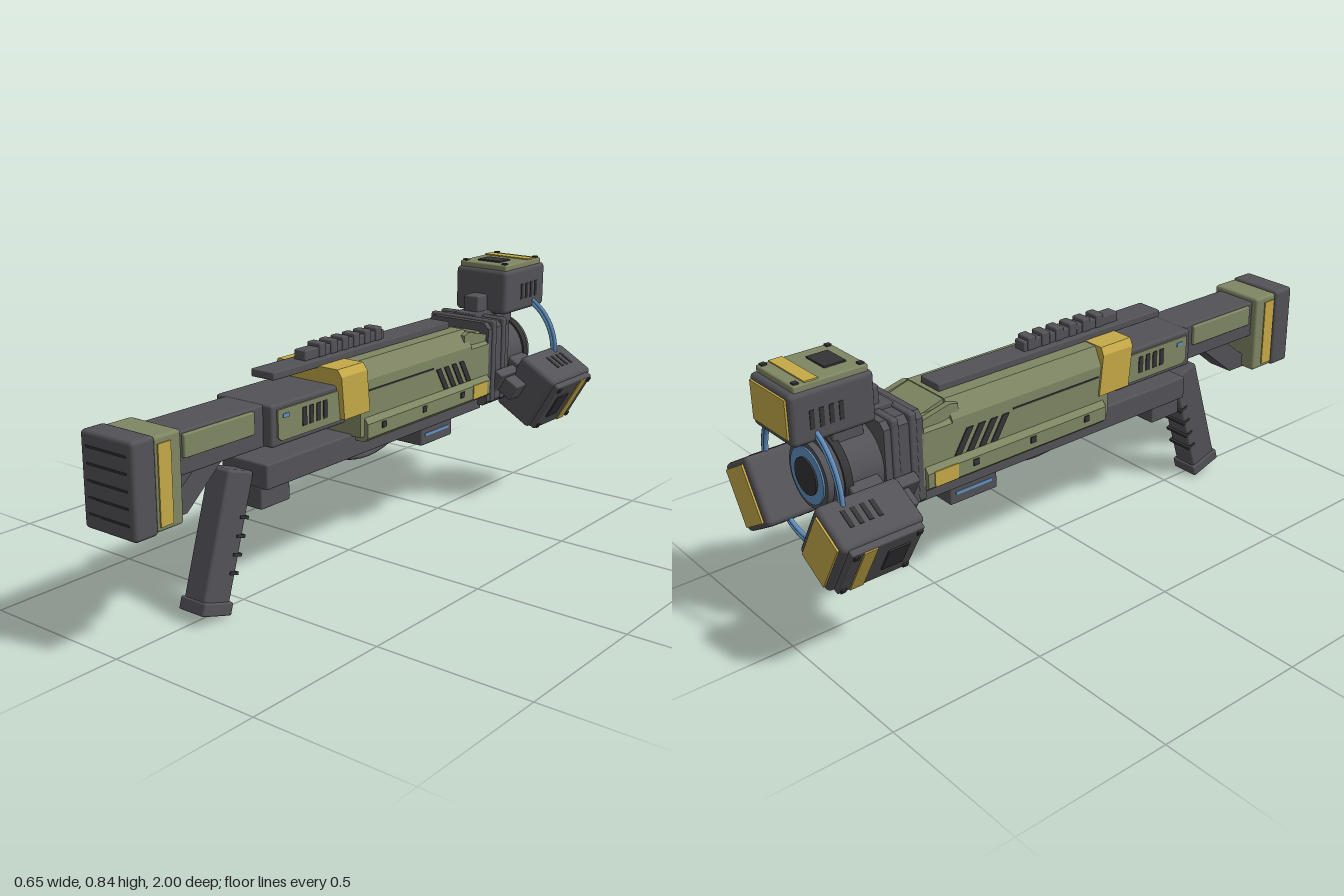
import * as THREE from 'three';
import { RoundedBoxGeometry } from 'three/addons/geometries/RoundedBoxGeometry.js';

const mat = (name, color) => Object.assign(new THREE.MeshStandardMaterial({ color }), { name });

export function createModel() {
  const gray = mat('gunmetal', 0x535257), dark = mat('darkMetal', 0x343437), green = mat('oliveGreen', 0x7f8663);
  const yellow = mat('hazardYellow', 0xc6aa48), blue = mat('cableBlue', 0x6192c2);
  const root = new THREE.Group();
  root.name = 'launcher';

  const add = (parent, name, geometry, material) => {
    const m = new THREE.Mesh(geometry, material);
    m.name = name;
    parent.add(m);
    return m;
  };
  // Box given by its limits on each axis, with optional softened edges
  const box = (parent, name, material, [x0, x1], [y0, y1], [z0, z1], r = 0) => {
    const s = [x1 - x0, y1 - y0, z1 - z0];
    const m = add(parent, name, r ? new RoundedBoxGeometry(...s, 2, r) : new THREE.BoxGeometry(...s), material);
    m.position.set((x0 + x1) / 2, (y0 + y1) / 2, (z0 + z1) / 2);
    return m;
  };
  const shape = (pts) => new THREE.Shape(pts.map((p) => new THREE.Vector2(...p)));
  // Side outline in (z, y), given a width across x
  const profile = (parent, name, material, pts, width, x = 0) => {
    const g = new THREE.ExtrudeGeometry(shape(pts), { depth: width, bevelEnabled: false });
    g.translate(0, 0, -width / 2).rotateY(-Math.PI / 2);
    const m = add(parent, name, g, material);
    m.position.x = x;
    return m;
  };
  // Mirrored cross-section in (x, y), run along z
  const section = (parent, name, material, half, z0, z1) => {
    const pts = [...half, ...half.map(([x, y]) => [-x, y]).reverse()];
    const g = new THREE.ExtrudeGeometry(shape(pts), { depth: z1 - z0, bevelEnabled: false });
    g.translate(0, 0, z0);
    return add(parent, name, g, material);
  };
  const rect = (z0, z1, y0, y1) => [[z0, y0], [z1, y0], [z1, y1], [z0, y1]];
  const wide = (h) => [-h, h];

  // Stock
  box(root, 'buttPad', gray, wide(0.1), [0.355, 0.63], [0.915, 0.998], 0.012);
  for (let i = 0; i < 5; i++) {
    const y = 0.4 + i * 0.047;
    box(root, 'buttPadGroove', dark, wide(0.077), [y - 0.003, y + 0.003], [0.994, 1]);
  }
  box(root, 'stockBlock', green, wide(0.096), [0.36, 0.625], [0.82, 0.918], 0.01);
  box(root, 'stockBeam', gray, wide(0.075), [0.485, 0.61], [0.47, 0.83], 0.006);
  profile(root, 'stockStrut', gray, [[0.83, 0.36], [0.76, 0.36], [0.61, 0.485], [0.72, 0.485], [0.83, 0.4]], 0.09);

  // Receiver, lower rail and the boxes beneath it
  box(root, 'receiver', gray, wide(0.108), [0.487, 0.612], [0.15, 0.482], 0.008);
  box(root, 'lowerRail', gray, wide(0.09), [0.358, 0.435], [-0.62, 0.485], 0.006);
  box(root, 'rearUnderBlock', gray, wide(0.066), [0.293, 0.362], [0.36, 0.485], 0.005);
  box(root, 'frontUnderBlock', gray, wide(0.068), [0.293, 0.362], [-0.475, -0.3], 0.005);
  const loop = new THREE.CatmullRomCurve3([[0.08, 0.365], [0.03, 0.33], [-0.09, 0.308], [-0.21, 0.33], [-0.26, 0.365]]
    .map(([z, y]) => new THREE.Vector3(0, y, z)));
  add(root, 'underHandle', new THREE.TubeGeometry(loop, 24, 0.011, 8), gray);

  // Main body and yellow band
  section(root, 'bodyUpper', green, [[0.125, 0.43], [0.125, 0.605], [0.09, 0.66]], -0.5, 0.1);
  section(root, 'bodyNose', green, [[0.125, 0.43], [0.125, 0.595], [0.085, 0.635]], -0.605, -0.5);
  profile(root, 'bodyNoseSlope', green, [[-0.6, 0.62], [-0.49, 0.62], [-0.49, 0.66], [-0.6, 0.628]], 0.17);
  section(root, 'bodySkirt', green, [[0.125, 0.412], [0.139, 0.425], [0.139, 0.47], [0.125, 0.488]], -0.6, 0.08);
  const band = section(root, 'yellowBand', yellow, [[0.131, 0.508], [0.131, 0.64], [0.117, 0.663]], 0.06, 0.183);
  const bp = band.geometry.attributes.position;
  for (let i = 0; i < bp.count; i++) bp.setZ(i, bp.getZ(i) + (bp.getY(i) - 0.508) * 0.11);
  band.geometry.computeVertexNormals();

  // Top rail with its ridged cover
  box(root, 'topRail', gray, wide(0.044), [0.658, 0.682], [-0.485, 0.4], 0.004);
  box(root, 'ridgedCover', gray, wide(0.022), [0.68, 0.712], [-0.15, 0.235], 0.004);
  for (let i = 0; i < 6; i++) {
    const z = 0.155 - i * 0.055;
    box(root, 'coverRidge', gray, wide(0.026), [0.68, 0.724], [z - 0.016, z + 0.016], 0.005);
  }

  // Details on both sides
  for (const s of [1, -1]) {
    profile(root, 'stockStripe', yellow, rect(0.862, 0.908, 0.375, 0.605), 0.008, s * 0.096);
    box(root, 'stockPanel', green, [s * 0.078 - 0.008, s * 0.078 + 0.008], [0.535, 0.602], [0.525, 0.8], 0.004);
    profile(root, 'receiverPanel', green, [[0.18, 0.503], [0.445, 0.503], [0.46, 0.515], [0.46, 0.597], [0.18, 0.597]], 0.009, s * 0.109);
    profile(root, 'receiverLight', blue, rect(0.415, 0.44, 0.57, 0.582), 0.006, s * 0.113);
    profile(root, 'underBlockLight', blue, rect(-0.455, -0.32, 0.323, 0.333), 0.006, s * 0.067);
    for (let i = 0; i < 4; i++) {
      const z = 0.355 - i * 0.031, w = -0.295 - i * 0.044;
      profile(root, 'receiverVent', dark, rect(z - 0.018, z, 0.527, 0.582), 0.006, s * 0.113);
      profile(root, 'bodyVent', dark, [[w - 0.07, 0.49], [w - 0.046, 0.49], [w, 0.565], [w - 0.024, 0.565]], 0.007, s * 0.125);
    }
    profile(root, 'bodySeam', dark, rect(-0.28, 0.06, 0.569, 0.574), 0.005, s * 0.125);
    profile(root, 'nosePlate', green, [[-0.6, 0.595], [-0.47, 0.615], [-0.47, 0.645], [-0.5, 0.652], [-0.6, 0.628]], 0.02, s * 0.105);
    profile(root, 'yellowMarker', yellow, rect(-0.578, -0.495, 0.424, 0.472), 0.007, s * 0.138);
    for (const z of [0, -0.215, -0.43]) profile(root, 'skirtBolt', dark, rect(z - 0.01, z + 0.01, 0.444, 0.464), 0.008, s * 0.138);
  }

  // Pistol grip, leaning back
  const grip = new THREE.Group();
  grip.name = 'grip';
  grip.position.set(0, 0.036, 0.655);
  grip.rotation.x = -0.3;
  root.add(grip);
  box(grip, 'gripShaft', gray, wide(0.043), [0, 0.405], [-0.052, 0.055], 0.01);
  box(grip, 'gripFoot', gray, wide(0.05), [-0.02, 0.02], [-0.06, 0.06], 0.006);
  for (let i = 0; i < 4; i++) {
    const y = 0.1 + i * 0.055;
    box(grip, 'gripRib', dark, wide(0.046), [y, y + 0.01], [-0.06, -0.025]);
  }

  // Collar and hub
  section(root, 'collar', gray, [[0.11, 0.375], [0.125, 0.39], [0.125, 0.645], [0.105, 0.665]], -0.73, -0.6);
  for (const z of [-0.635, -0.695]) box(root, 'collarRib', gray, wide(0.131), [0.385, 0.672], [z - 0.013, z + 0.013], 0.008);
  const cy = 0.52;
  const disc = (name, material, r, z0, z1) => {
    const m = add(root, name, new THREE.CylinderGeometry(r, r, z1 - z0, 32).rotateX(Math.PI / 2), material);
    m.position.set(0, cy, (z0 + z1) / 2);
  };
  disc('hub', gray, 0.118, -0.88, -0.72);
  disc('hubRim', dark, 0.125, -0.86, -0.835);
  disc('hubCap', gray, 0.1, -0.9, -0.87);
  disc('hubLight', blue, 0.085, -0.905, -0.895);
  disc('hubCenter', dark, 0.056, -0.91, -0.9);

  // Blue cable ring
  for (const r of [0.191, 0.203]) {
    const ring = add(root, 'cableRing', new THREE.TorusGeometry(r, 0.007, 8, 64), blue);
    ring.position.set(0, cy, -0.92);
  }

  // Three heads around the hub
  for (let k = 0; k < 3; k++) {
    const head = new THREE.Group();
    head.name = 'head';
    head.position.y = cy;
    head.rotation.z = (k * Math.PI * 2) / 3;
    root.add(head);
    box(head, 'headArm', gray, wide(0.06), [0.06, 0.17], [-0.85, -0.75], 0.006);
    box(head, 'headBody', gray, wide(0.104), [0.148, 0.302], [-0.994, -0.733], 0.016);
    box(head, 'headPlate', k ? gray : green, wide(0.095), [0.295, 0.32], [-0.975, -0.745], 0.006);
    box(head, 'headStripe', yellow, wide(0.09), [0.316, 0.324], [-0.938, -0.896]);
    box(head, 'headHatch', dark, wide(0.045), [0.316, 0.325], [-0.85, -0.782]);
    box(head, 'headBackPlate', yellow, wide(0.088), [0.172, 0.287], [-1, -0.992]);
    box(head, 'bracketBase', gray, wide(0.045), [0.125, 0.16], [-0.76, -0.64], 0.004);
    box(head, 'bracket', gray, wide(0.03), [0.14, 0.215], [-0.74, -0.675], 0.006);
    for (const s of [1, -1]) {
      for (let i = 0; i < 4; i++) {
        const z = -0.835 - i * 0.03;
        profile(head, 'headVent', dark, rect(z - 0.014, z, 0.19, 0.245), 0.006, s * 0.103);
      }
      for (const z of [-0.96, -0.76]) box(head, 'headBolt', dark, [s * 0.08 - 0.008, s * 0.08 + 0.008], [0.316, 0.325], [z - 0.008, z + 0.008]);
    }
  }
  return root;
}
